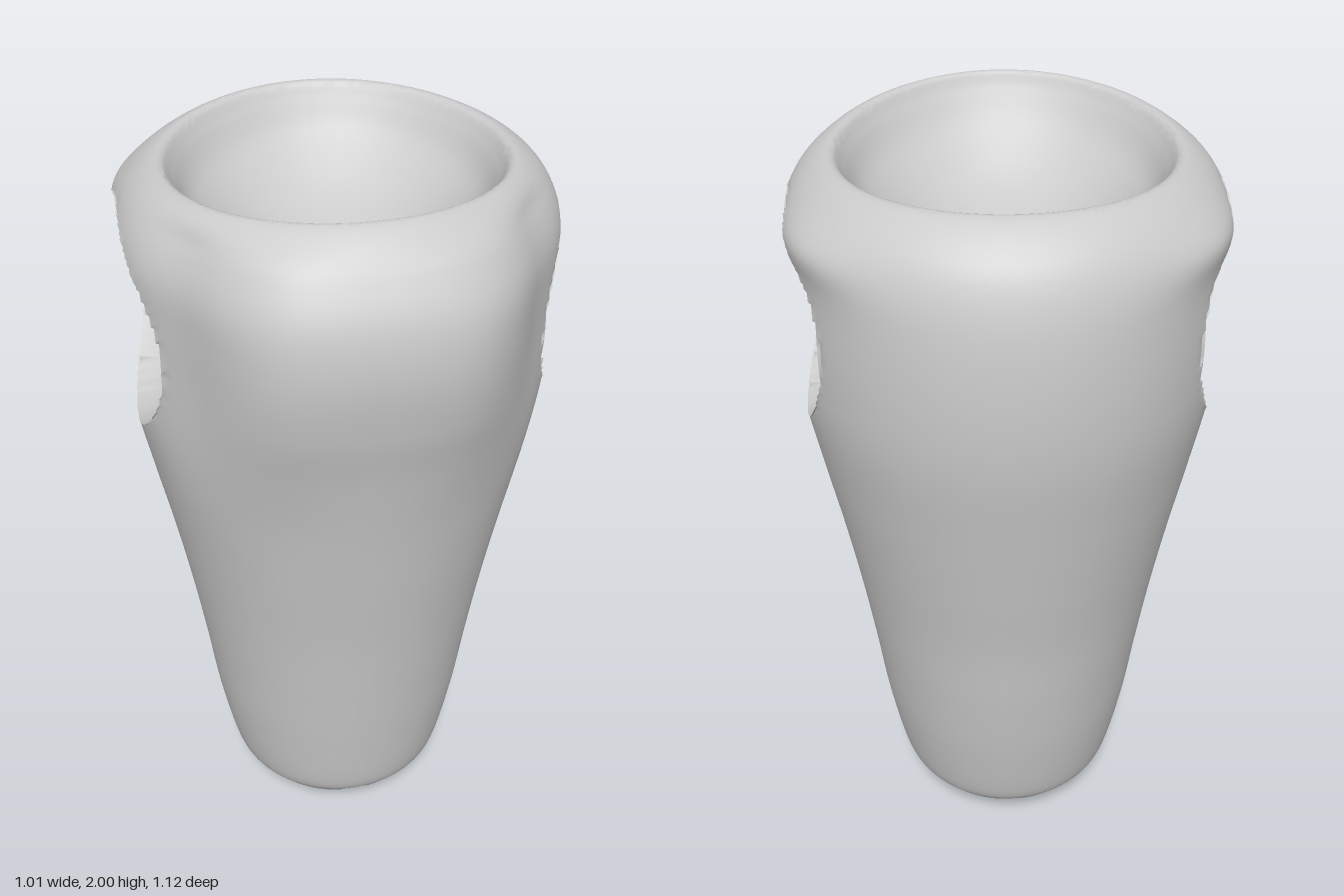
import * as THREE from 'three';
import { toCreasedNormals } from 'three/addons/utils/BufferGeometryUtils.js';

const SIDES = 252;
const V = (x, y, z) => new THREE.Vector3(x, y, z);

// Cross-sections from the base, over the rim and down into the neck bowl:
// height, half width, reach to the front, reach to the back
const SECTIONS = [
  [0, 0, 0, 0], [0.012, 0.07, 0.07, 0.07], [0.05, 0.15, 0.15, 0.155], [0.1, 0.225, 0.225, 0.235],
  [0.15, 0.27, 0.27, 0.285], [0.21, 0.3, 0.302, 0.32], [0.4, 0.338, 0.335, 0.365],
  [0.6, 0.365, 0.365, 0.4], [0.8, 0.395, 0.395, 0.43], [1, 0.43, 0.43, 0.468],
  [1.2, 0.47, 0.465, 0.505], [1.4, 0.507, 0.505, 0.54], [1.55, 0.515, 0.54, 0.553],
  [1.7, 0.515, 0.56, 0.55], [1.82, 0.517, 0.548, 0.532], [1.91, 0.495, 0.505, 0.5],
  [1.97, 0.455, 0.455, 0.45], [2, 0.4, 0.405, 0.395], [1.965, 0.37, 0.385, 0.37],
  [1.88, 0.32, 0.33, 0.32], [1.79, 0.22, 0.23, 0.22], [1.74, 0.11, 0.115, 0.11], [1.725, 0, 0, 0],
];
const RIM = 17; // section index of the rim

const bell = (v, mid, width) => Math.exp(-(((v - mid) / width) ** 2));

// Round hollows: centre, outward axis, radius, depth
const hollows = [];
for (const s of [1, -1]) {
  hollows.push({ c: V(s * 0.5, 1.605, -0.03), n: V(s, 0, 0), r: 0.277, d: 0.23 }); // arm sockets
}
const addRing = (count, start, dist, y, out, down, r, d) => {
  for (let i = 0; i < count; i++) {
    const a = start + (i / count) * Math.PI * 2;
    const sx = Math.sin(a), cz = Math.cos(a);
    hollows.push({ c: V(sx * dist, y, cz * dist), n: V(sx * out, -down, cz * out).normalize(), r, d });
  }
};
addRing(8, 0, 0.257, 0.13, 0.83, 0.56, 0.036, 0.04); // small upper dimples
addRing(4, Math.PI / 4, 0.155, 0.055, 0.55, 0.83, 0.074, 0.045); // large lower dimples

// Press a surface point into any hollow that covers it, snapping to a clean rim
function carve(p) {
  for (const { c, n, r, d } of hollows) {
    const v = p.clone().sub(c);
    const along = v.dot(n);
    if (along < -0.2) continue;
    const across = v.addScaledVector(n, -along);
    const k = across.length() / r;
    const snap = r > 0.2 ? 0.025 : 0.09;
    if (Math.abs(k - 1) < snap) p.addScaledVector(across, 1 / k - 1);
    else if (k < 1) p.addScaledVector(n, -d * Math.pow(1 - k * k, 0.6));
  }
}

function surfacePoint(y, half, front, back, angle, outer) {
  const s = Math.sin(angle), c = Math.cos(angle);
  const turn = Math.acos(THREE.MathUtils.clamp(c, -1, 1)) * THREE.MathUtils.RAD2DEG;
  // Chest corners, hollow in front of the arms, and fuller shoulders behind
  let k = 1;
  if (outer) {
    const upper = THREE.MathUtils.smoothstep(y, 1.2, 1.65) * (1 - THREE.MathUtils.smoothstep(y, 1.93, 2));
    k += upper * (0.03 * bell(turn, 24, 14) - 0.045 * bell(turn, 54, 14));
    k += 0.05 * bell(turn, 120, 18) * bell(y, 1.87, 0.07);
  }
  // The rim dips at the sides and back
  const dip = THREE.MathUtils.smoothstep(y, 1.75, 2) * (0.022 * s * s + 0.009 * (1 - c));
  return V(half * s * k, y - dip, (c > 0 ? front : back) * c * k);
}

function buildTorso() {
  const curve = (f) => new THREE.CatmullRomCurve3(SECTIONS.map(f), false, 'catmullrom', 0.5);
  const widths = curve(([y, a]) => V(a, y, 0));
  const depths = curve(([y, , f, b]) => V(f, y, b));
  const last = SECTIONS.length - 1;

  // Finer rows near the dimpled base
  const rows = [];
  for (let i = 0; i < last; i++) {
    const [y0, a0] = SECTIONS[i], [y1, a1] = SECTIONS[i + 1];
    const n = Math.ceil(Math.hypot(y1 - y0, a1 - a0) / (i < 5 ? 0.007 : 0.013));
    for (let j = 0; j < n; j++) rows.push(i + j / n);
  }
  rows.push(last);

  const pos = [], index = [];
  rows.forEach((t, i) => {
    const w = widths.getPoint(t / last), d = depths.getPoint(t / last);
    for (let j = 0; j < SIDES; j++) {
      const p = surfacePoint(w.y, w.x, d.x, d.z, (j / SIDES) * Math.PI * 2, t < RIM);
      if (t < RIM) carve(p);
      pos.push(p.x, p.y, p.z);
      if (i === rows.length - 1) continue;
      const k = (j + 1) % SIDES;
      const a = i * SIDES + j, b = i * SIDES + k, e = a + SIDES, f = b + SIDES;
      if (i > 0) index.push(a, b, f);
      if (i < rows.length - 2) index.push(a, f, e);
      else index.push(a, b, e);
      if (i === 0) continue;
    }
  });
  const geo = new THREE.BufferGeometry();
  geo.setAttribute('position', new THREE.Float32BufferAttribute(pos, 3));
  geo.setIndex(index);
  return toCreasedNormals(geo, 0.75);
}

export function createModel() {
  const group = new THREE.Group();
  group.name = 'socketedTorso';
  const torso = new THREE.Mesh(buildTorso(), new THREE.MeshStandardMaterial({ color: 0xcccccc }));
  torso.name = 'torso';
  group.add(torso);
  return group;
}
